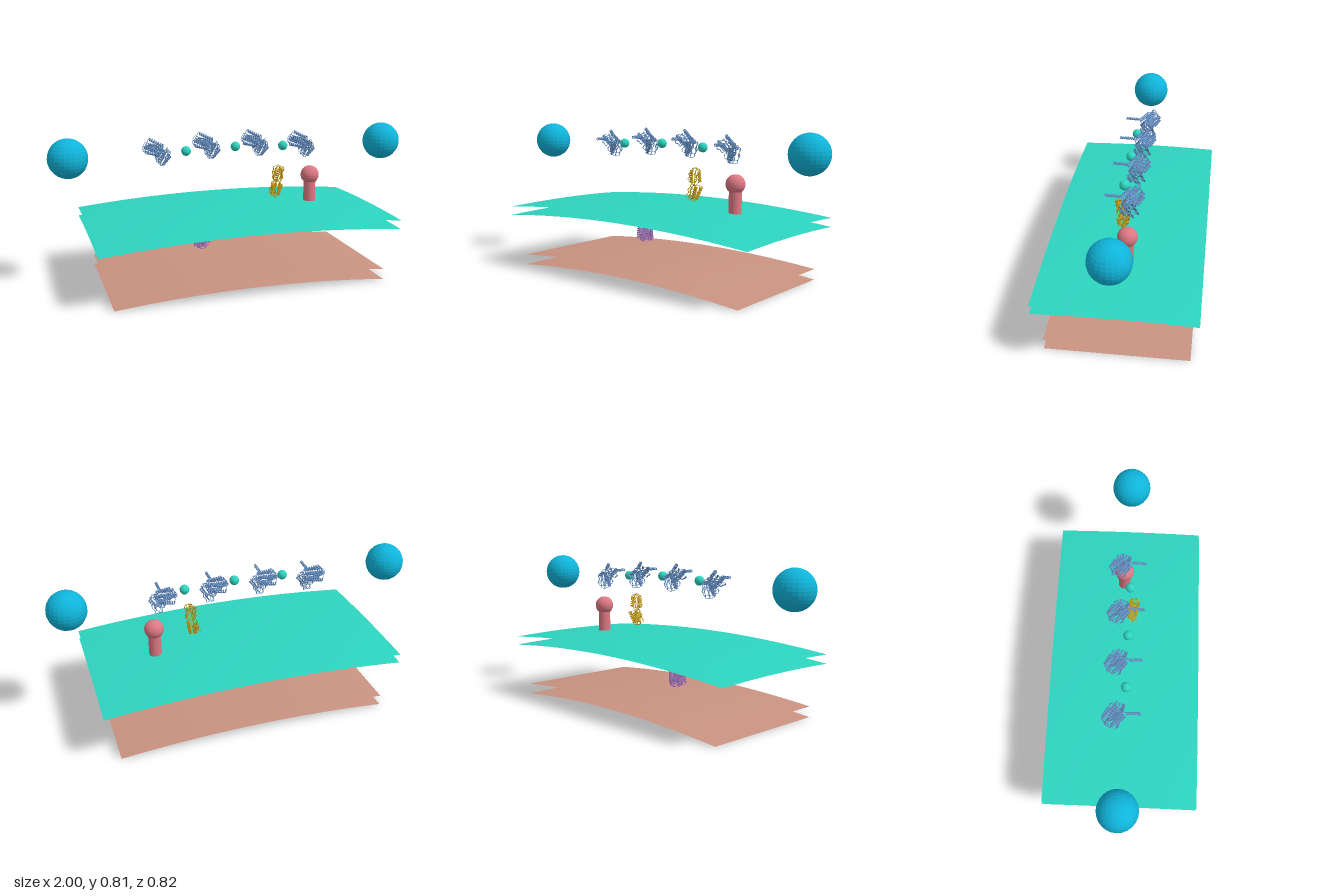
import * as THREE from 'three';
import { mergeGeometries } from 'three/addons/utils/BufferGeometryUtils.js';

const V = (x, y, z) => new THREE.Vector3(x, y, z);

function material(name, color) {
  const m = new THREE.MeshStandardMaterial({ color, side: THREE.DoubleSide, flatShading: true });
  m.name = name;
  return m;
}

function seeded(seed) {
  return () => (seed = (seed * 16807) % 2147483647) / 2147483647;
}

// Arched sheet: falls by dropX at the x ends and by dropZ at the z ends
function archedSheet(halfX, halfZ, top, dropX, dropZ) {
  const geo = new THREE.PlaneGeometry(halfX * 2, halfZ * 2, 32, dropZ ? 16 : 1).rotateX(-Math.PI / 2);
  const p = geo.attributes.position;
  for (let i = 0; i < p.count; i++) {
    p.setY(i, top - dropX * (p.getX(i) / halfX) ** 2 - dropZ * (p.getZ(i) / halfZ) ** 2);
  }
  geo.computeVertexNormals();
  return geo;
}

// Flat band swept along points; wide(i) is its broad direction, half(i) its half width
function ribbon(points, wide, half, thick) {
  const pos = [], index = [], last = points.length - 1;
  points.forEach((p, i) => {
    const t = points[Math.min(i + 1, last)].clone().sub(points[Math.max(i - 1, 0)]).normalize();
    const n = t.clone().cross(wide).normalize();
    const w = n.clone().cross(t).normalize();
    for (const [a, b] of [[1, 1], [-1, 1], [-1, -1], [1, -1]]) {
      const c = p.clone().addScaledVector(w, a * half(i / last)).addScaledVector(n, b * thick);
      pos.push(c.x, c.y, c.z);
    }
    if (i < last) {
      for (let j = 0; j < 4; j++) {
        const a = i * 4 + j, b = i * 4 + (j + 1) % 4;
        index.push(a, b, b + 4, a, b + 4, a + 4);
      }
    }
  });
  const geo = new THREE.BufferGeometry();
  geo.setAttribute('position', new THREE.Float32BufferAttribute(pos, 3));
  geo.setIndex(index);
  geo.computeVertexNormals();
  return geo;
}

// Two directions at right angles to an axis
function sideAxes(axis) {
  const u = V(0.31, 0.2, 0.93).cross(axis).normalize();
  return [u, axis.clone().cross(u).normalize()];
}

function helix(a, b, radius) {
  const axis = b.clone().sub(a), len = axis.length();
  axis.normalize();
  const [u, v] = sideAxes(axis);
  const turns = Math.max(1.5, len / 0.0125), steps = Math.ceil(turns * 11), pts = [];
  for (let i = 0; i <= steps; i++) {
    const ang = (i / steps) * turns * Math.PI * 2;
    pts.push(a.clone().addScaledVector(axis, len * i / steps)
      .addScaledVector(u, Math.cos(ang) * radius).addScaledVector(v, Math.sin(ang) * radius));
  }
  return { geo: ribbon(pts, axis, () => 0.0036, 0.0008), start: pts[0], end: pts[steps], axis };
}

// Slightly wavy strand that ends in an arrowhead
function strand(a, b) {
  const axis = b.clone().sub(a).normalize();
  const [u, v] = sideAxes(axis), pts = [];
  for (let i = 0; i <= 20; i++) {
    pts.push(a.clone().lerp(b, i / 20).addScaledVector(u, Math.sin(i * 0.55) * 0.003));
  }
  const half = t => (t < 0.75 ? 0.004 : 0.0065 * (1 - t) / 0.25 + 0.0008);
  return { geo: ribbon(pts, v, half, 0.0009), start: pts[0], end: pts[20], axis };
}

// Chain of helices and strands packed into ellipsoid lobes, joined by thin loops.
// A lobe has centre c, radii r, segment direction d, count n, helix share h and core hole
function foldedChain(lobes, seed, extra = []) {
  const rnd = seeded(seed), parts = [];
  for (const { c, r, d, n, h, hole = 0 } of lobes) {
    const dir = V(...d).normalize(), [u, v] = sideAxes(dir);
    const size = V(...r), centre = V(...c);
    for (let i = 0; i < n; i++) {
      const rho = 0.86 * Math.sqrt(hole + (1 - hole) * (i + 0.4) / n), ang = i * 2.4;
      const mid = u.clone().multiplyScalar(Math.cos(ang) * rho).addScaledVector(v, Math.sin(ang) * rho);
      const reach = (i % 2 ? -1 : 1) * Math.sqrt(1 - rho ** 4) * (0.7 + 0.25 * rnd());
      const tilt = u.clone().multiplyScalar((rnd() - 0.5) * 0.5).addScaledVector(v, (rnd() - 0.5) * 0.5);
      const ray = dir.clone().add(tilt).multiplyScalar(reach);
      const a = mid.clone().sub(ray).multiply(size).add(centre);
      const b = mid.clone().add(ray).multiply(size).add(centre);
      parts.push(rnd() < h ? helix(a, b, 0.0085) : strand(a, b));
    }
  }
  for (const [a, b] of extra) parts.push(helix(V(...a), V(...b), 0.007));
  const geos = parts.map(p => p.geo);
  for (let i = 1; i < parts.length; i++) {
    const p = parts[i - 1], q = parts[i];
    const loop = new THREE.CubicBezierCurve3(p.end, p.end.clone().addScaledVector(p.axis, 0.015),
      q.start.clone().addScaledVector(q.axis, -0.015), q.start);
    const tube = new THREE.TubeGeometry(loop, 14, 0.0014, 5);
    tube.deleteAttribute('uv');
    geos.push(tube);
  }
  return mergeGeometries(geos);
}

export function createModel() {
  const group = new THREE.Group();
  const teal = material('teal', 0x2dd4bf);
  const brown = material('clay brown', 0xc99280);
  const cyan = material('cyan', 0x0fb4da);
  const pink = material('rose pink', 0xdc7883);
  const blue = material('steel blue', 0x6690c4);
  const gold = material('gold', 0xcca31c);
  const purple = material('purple', 0xb07cc6);

  const add = (name, geo, mat, x = 0, y = 0, z = 0) => {
    const mesh = new THREE.Mesh(geo, mat);
    mesh.name = name;
    mesh.position.set(x, y, z);
    group.add(mesh);
  };

  // Two double membranes
  add('outerMembraneTop', archedSheet(0.817, 0.41, 0.392, 0.042, 0.009), teal);
  add('outerMembraneBottom', archedSheet(0.817, 0.41, 0.343, 0.042, 0.009), teal);
  add('innerMembraneTop', archedSheet(0.745, 0.373, 0.095, 0.037, 0), brown);
  add('innerMembraneBottom', archedSheet(0.745, 0.373, 0.038, 0.038, 0), brown);

  // Large end spheres and the small beads between the chains
  const ball = new THREE.SphereGeometry(0.104, 24, 16);
  for (const s of [-1, 1]) add(s > 0 ? 'leftEndSphere' : 'rightEndSphere', ball, cyan, s * 0.896, 0.708, 0);
  const bead = new THREE.SphereGeometry(0.026, 20, 14);
  for (const i of [-1, 0, 1]) add('linkBead', bead, teal, i * 0.277, i ? 0.715 : 0.725, 0.016);

  // Receptor: stem through the upper membrane with a round head
  add('receptorStem', new THREE.CylinderGeometry(0.034, 0.034, 0.2, 24), pink, 0.461, 0.428, -0.022);
  add('receptorHead', new THREE.SphereGeometry(0.052, 24, 16), pink, 0.461, 0.53, -0.022);

  // Row of four blue proteins, each with a tail towards the front
  const blueGeo = foldedChain([
    { c: [-0.022, 0.02, -0.04], r: [0.052, 0.05, 0.06], d: [0.8, -0.3, 0.5], n: 11, h: 0.5 },
    { c: [0.03, -0.022, -0.03], r: [0.046, 0.048, 0.05], d: [0.5, 0.8, 0.2], n: 9, h: 0.6 },
  ], 71, [[[0.0, 0.03, 0.02], [0.0, 0.032, 0.095]]]);
  [[-0.42, 0.705], [-0.145, 0.725], [0.135, 0.725], [0.412, 0.705]]
    .forEach(([x, y]) => add('blueProtein', blueGeo, blue, x, y, 0));

  // Two-lobed golden protein above the membrane
  add('goldenProtein', foldedChain([
    { c: [0.232, 0.472, 0.03], r: [0.04, 0.044, 0.034], d: [0.1, 1, -0.1], n: 9, h: 0.25, hole: 0.3 },
    { c: [0.242, 0.562, 0.037], r: [0.038, 0.044, 0.032], d: [0.15, 1, 0.1], n: 9, h: 0.25, hole: 0.3 },
  ], 913), gold);

  // Purple protein: lobes inside the membrane and an upright helix bundle below
  add('purpleProtein', foldedChain([
    { c: [-0.305, 0.333, 0.01], r: [0.055, 0.05, 0.09], d: [0.3, 0.1, 1], n: 9, h: 0.6 },
    { c: [-0.225, 0.322, -0.03], r: [0.045, 0.045, 0.06], d: [0.8, 0.3, 0.4], n: 6, h: 0.7 },
    { c: [-0.182, 0.214, -0.057], r: [0.058, 0.078, 0.058], d: [0.05, 1, 0.1], n: 12, h: 1 },
  ], 4242), purple);

  return group;
}
